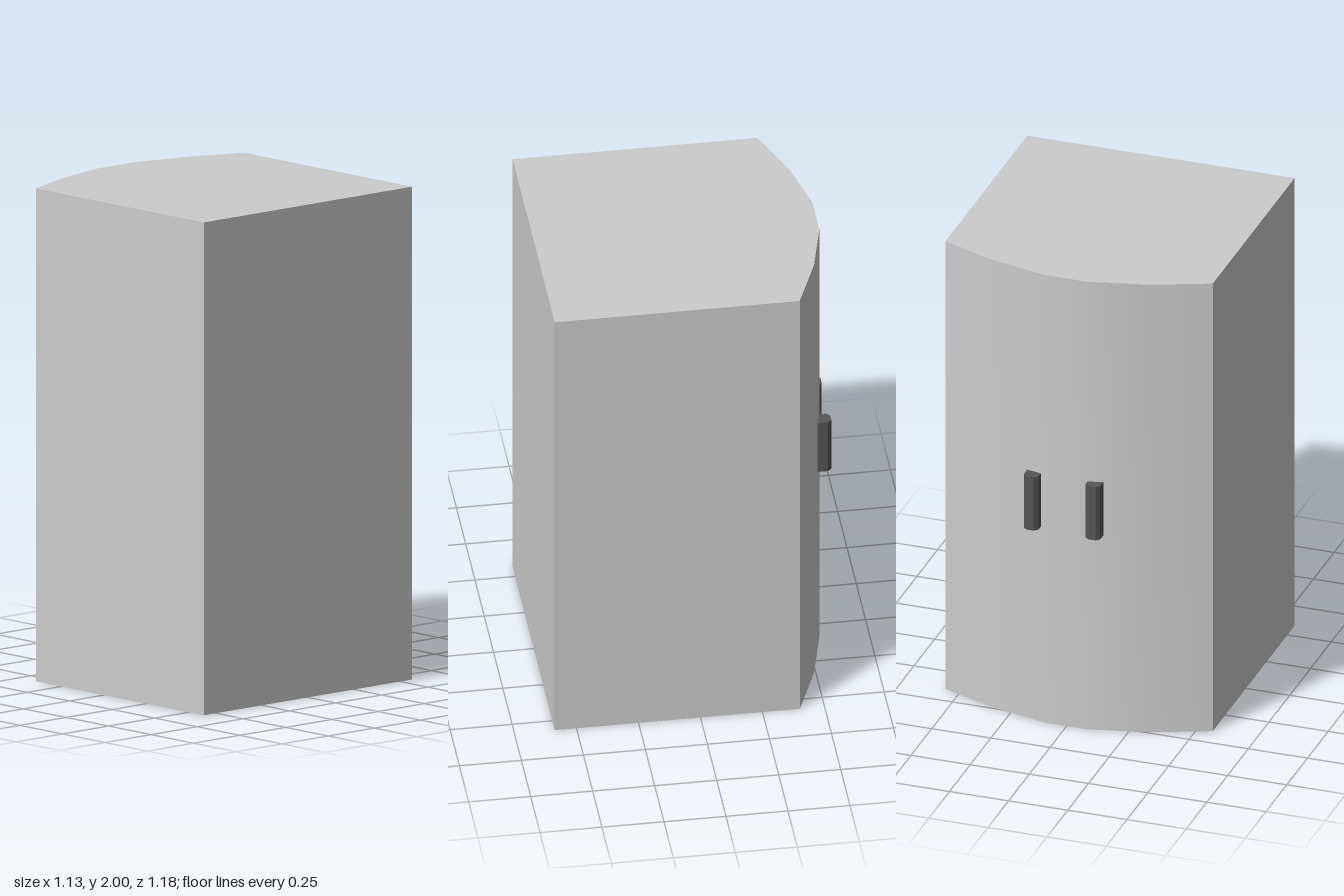
import * as THREE from 'three';
import { toCreasedNormals } from 'three/addons/utils/BufferGeometryUtils.js';

// Extrude a plan outline of [x, z] points upward from y0 to y1.
function prism(plan, y0, y1) {
  const shape = new THREE.Shape(plan.map(([x, z]) => new THREE.Vector2(x, -z)));
  const geometry = new THREE.ExtrudeGeometry(shape, { depth: y1 - y0, bevelEnabled: false });
  return geometry.rotateX(-Math.PI / 2).translate(0, y0, 0);
}

export function createModel() {
  const group = new THREE.Group();
  const bodyMaterial = new THREE.MeshStandardMaterial({ color: 0xcccccc });
  const handleMaterial = new THREE.MeshStandardMaterial({ color: 0x555555 });

  // Cabinet with a flat front and a bowed, smoothly shaded back
  const bow = [[0.565, -0.4], [0.33, -0.493], [0.09, -0.55]];
  const plan = [
    [-0.565, 0.588], [0.565, 0.588],
    ...bow,
    ...bow.map(([x, z]) => [-x, z]).reverse(),
  ];
  const cabinet = new THREE.Mesh(toCreasedNormals(prism(plan, 0, 2), 0.5), bodyMaterial);
  cabinet.name = 'cabinet';
  group.add(cabinet);

  // Upright door handles with chamfered outer corners
  const handlePlan = [
    [-0.031, -0.525], [0.031, -0.525], [0.031, -0.573],
    [0.016, -0.588], [-0.016, -0.588], [-0.031, -0.573],
  ];
  for (const [name, x] of [['rightHandle', -0.119], ['leftHandle', 0.142]]) {
    const handle = new THREE.Mesh(prism(handlePlan, 0.87, 1.108), handleMaterial);
    handle.name = name;
    handle.position.x = x;
    group.add(handle);
  }

  return group;
}
